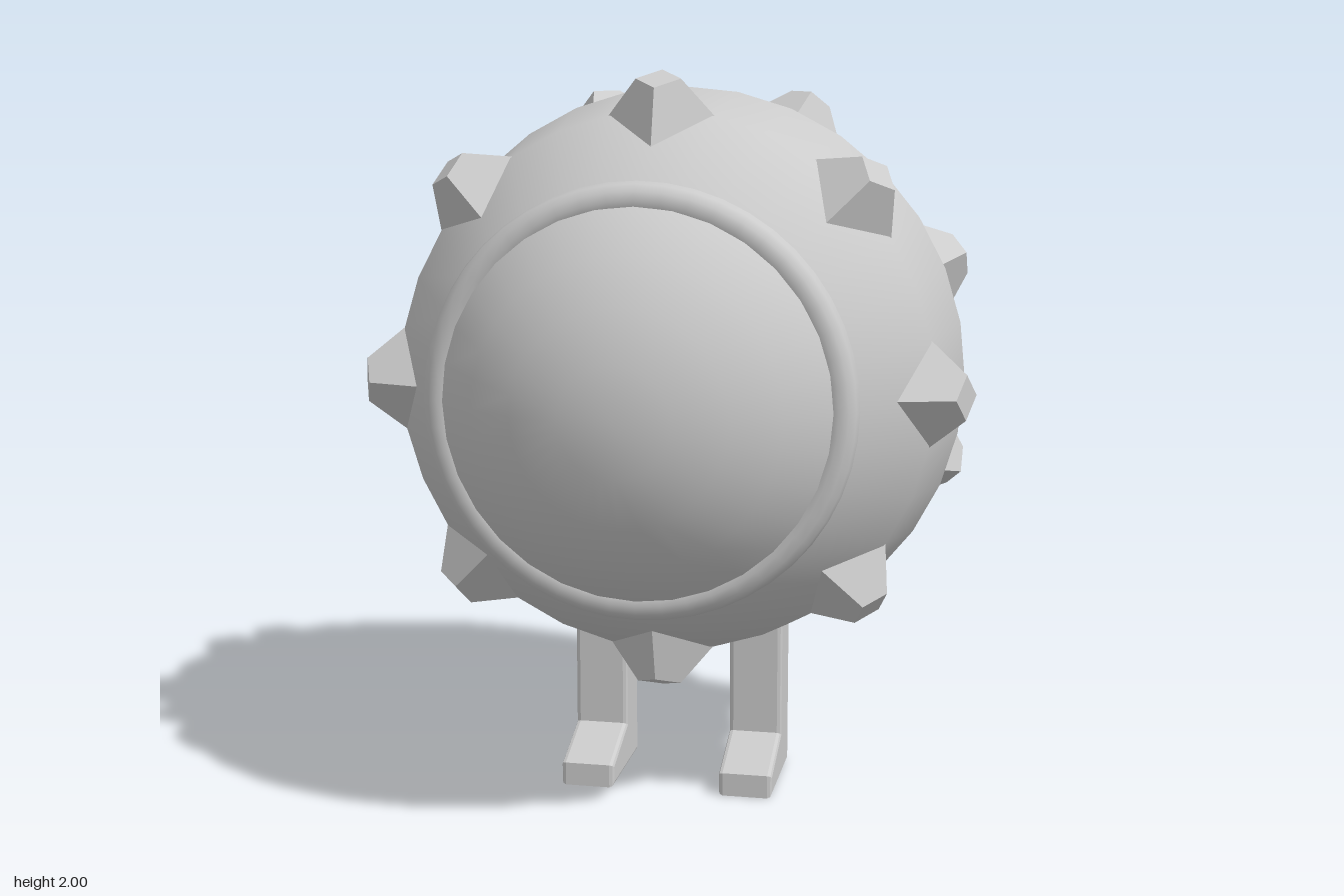
import * as THREE from 'three';

const CENTER = new THREE.Vector3(0, 1.16, -0.055);

export function createModel() {
  const model = new THREE.Group();
  const smooth = new THREE.MeshStandardMaterial({ color: 0xcccccc, side: THREE.DoubleSide });
  const flat = new THREE.MeshStandardMaterial({ color: 0xcccccc, flatShading: true });

  const add = (name, geometry, material, position) => {
    const mesh = new THREE.Mesh(geometry, material);
    mesh.name = name;
    mesh.position.copy(position);
    model.add(mesh);
    return mesh;
  };

  // Round body, poles at front and back
  add('body', new THREE.SphereGeometry(0.79, 32, 8).rotateX(Math.PI / 2), smooth, CENTER);

  // Bulging front dome
  const dome = new THREE.SphereGeometry(0.635, 32, 5, 0, Math.PI * 2, 0, 1.12).rotateX(Math.PI / 2);
  add('frontDome', dome, smooth, new THREE.Vector3(0, CENTER.y, 0.205));

  // Rim around the dome
  add('domeRim', new THREE.TorusGeometry(0.517, 0.048, 12, 48), smooth,
    new THREE.Vector3(0, CENTER.y, 0.545));

  // Two rings of blunt four-sided spikes; the rear ring is offset by half a step
  const spikeGeometry = new THREE.CylinderGeometry(0.06, 0.17, 0.14, 4).translate(0, 0.81, 0);
  const tilt = Math.PI / 8;
  for (const [name, lean, offset] of [['frontSpike', tilt, 0], ['rearSpike', -tilt, tilt]]) {
    for (let i = 0; i < 8; i++) {
      const spike = add(name, spikeGeometry, flat, CENTER);
      spike.rotation.set(lean, 0, offset + i * Math.PI / 4, 'ZYX');
    }
  }

  // Legs with wedge-shaped feet, softly bevelled
  const profile = new THREE.Shape([
    [-0.13, 0], [0.2, 0], [0.2, 0.065], [0.02, 0.13], [0.02, 0.47], [-0.13, 0.47],
  ].map(([z, y]) => new THREE.Vector2(z, y)));
  const bevel = 0.012;
  const legGeometry = new THREE.ExtrudeGeometry(profile, {
    depth: 0.15 - 2 * bevel, bevelThickness: bevel, bevelSize: bevel,
    bevelOffset: -bevel, bevelSegments: 2,
  }).translate(0, 0, bevel - 0.075).rotateY(-Math.PI / 2);
  for (const [name, side] of [['leftLeg', 1], ['rightLeg', -1]]) {
    add(name, legGeometry, flat, new THREE.Vector3(side * 0.225, 0, 0));
  }

  return model;
}
